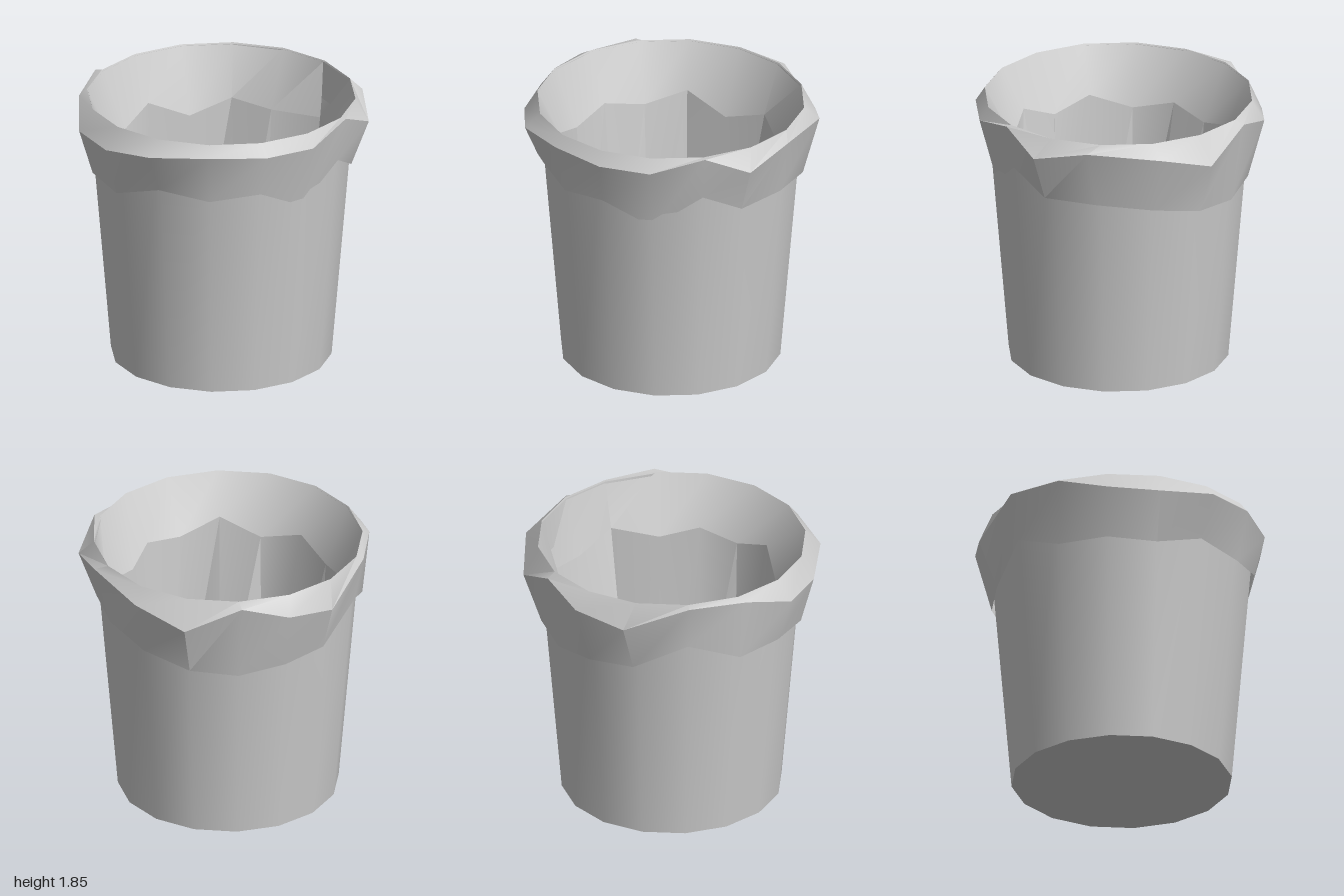
import * as THREE from 'three';
import { toCreasedNormals } from 'three/addons/utils/BufferGeometryUtils.js';

const SIDES = 16;
const HEIGHT = 1.85;

// Skin between rings; each ring gives a radius, a height and a twist in degrees,
// per side or one for all
function loft(rings) {
  const at = (v, k) => (Array.isArray(v) ? v[k] : v);
  const positions = [];
  const index = [];
  rings.forEach(({ r, y, twist = 0 }, i) => {
    for (let k = 0; k < SIDES; k++) {
      const a = THREE.MathUtils.degToRad((k / SIDES) * 360 + at(twist, k));
      positions.push(Math.cos(a) * at(r, k), at(y, k), Math.sin(a) * at(r, k));
      if (i === rings.length - 1) continue;
      const p = i * SIDES + k;
      const q = i * SIDES + ((k + 1) % SIDES);
      index.push(p, p + SIDES, q, q, p + SIDES, q + SIDES);
    }
  });
  const geometry = new THREE.BufferGeometry();
  geometry.setAttribute('position', new THREE.Float32BufferAttribute(positions, 3));
  geometry.setIndex(index);
  return toCreasedNormals(geometry, 0.6);
}

export function createModel() {
  const group = new THREE.Group();
  const material = new THREE.MeshStandardMaterial({ color: 0xcccccc, side: THREE.DoubleSide });
  const add = (name, geometry) => {
    const mesh = new THREE.Mesh(geometry, material);
    mesh.name = name;
    group.add(mesh);
  };

  // Tapered bin wall and its flat base
  add('binWall', loft([{ r: 0.74, y: 0 }, { r: 0.895, y: HEIGHT - 0.01 }]));
  add('binBase', new THREE.CircleGeometry(0.74, SIDES).rotateX(Math.PI / 2));

  // Bag cuff folded over the rim: ragged hem, bulging fold, rim
  const rim = { r: 0.9, y: HEIGHT };
  const hem = {
    r: [0.88, 0.84, 0.89, 0.88, 0.87, 0.9, 0.9, 0.9, 0.885, 0.86, 0.875, 0.87, 0.88, 0.89, 0.87, 0.88],
    y: [1.54, 1.31, 1.475, 1.43, 1.47, 1.365, 1.39, 1.38, 1.52, 1.33, 1.31, 1.265, 1.29, 1.36, 1.4, 1.4],
    twist: [0, 0, 0, 0, 1, 1, 0, -1, 0, 2, 1, 0, -1, -1, 2, 4],
  };
  const fold = {
    r: [0.94, 0.96, 0.96, 0.96, 1, 0.99, 1, 0.95, 0.95, 0.975, 0.99, 0.96, 1, 1, 0.965, 1],
    y: [1.85, 1.76, 1.76, 1.775, 1.75, 1.7, 1.71, 1.82, 1.84, 1.67, 1.73, 1.82, 1.65, 1.76, 1.8, 1.72],
    twist: [0, 0, -1, 0, 1, 1, -1, -2.5, 0, 4, 2.5, -1, -1, -2, 5, 4.5],
  };
  add('bagCuff', loft([hem, fold, rim]));

  // Bag lining: drawn in below the rim to a zigzag crease, then crumpled down to the base
  const crease = {
    r: [0.67, 0.71, 0.71, 0.73, 0.7, 0.75, 0.73, 0.74, 0.72, 0.76, 0.71, 0.78, 0.72, 0.86, 0.78, 0.82],
    y: [1.48, 1.54, 1.49, 1.59, 1.47, 1.54, 1.45, 1.52, 1.46, 1.54, 1.41, 1.5, 1.47, 1.45, 1.44, 1.52],
  };
  const foot = {
    r: [0.57, 0.58, 0.68, 0.47, 0.67, 0.57, 0.66, 0.5, 0.58, 0.7, 0.7, 0.59, 0.68, 0.67, 0.4, 0.69],
    y: 0.03,
    twist: [0, 3, 0, -3, 1, -1, 0, -7, 0, 0, 3, 5, -3, 1, 10, 0],
  };
  add('bagLiningTop', loft([rim, crease]));
  add('bagLining', loft([crease, foot]));

  return group;
}
